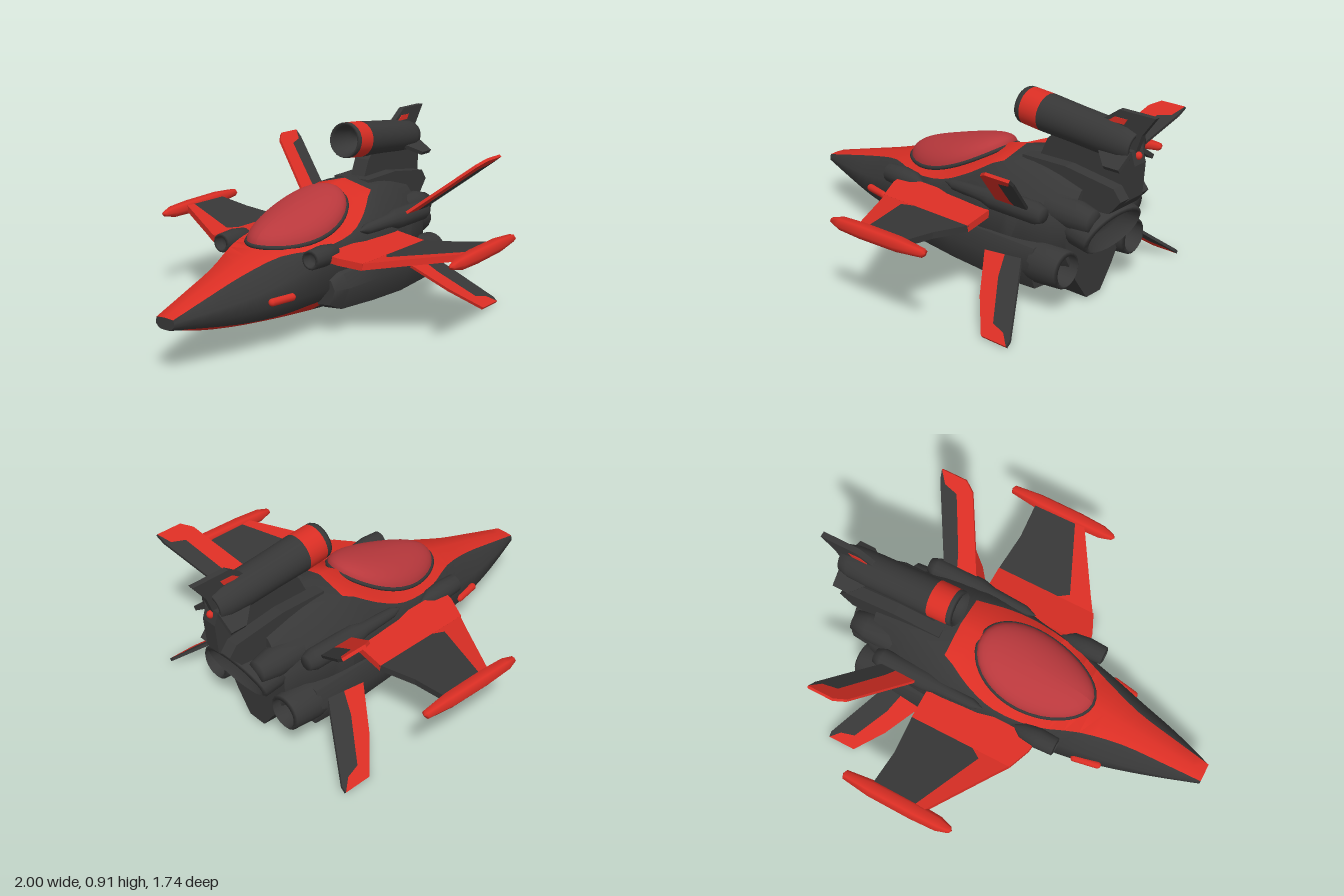
import * as THREE from 'three';
import { toCreasedNormals } from 'three/addons/utils/BufferGeometryUtils.js';

const material = (name, color, side = THREE.FrontSide) => {
  const m = new THREE.MeshStandardMaterial({ color, side });
  m.name = name;
  return m;
};
const dark = material('charcoal', 0x373737);
const red = material('red', 0xda2e24);
const glass = material('canopy red', 0xb8383c, THREE.DoubleSide);

export function createModel() {
  const model = new THREE.Group();
  const add = (name, geometry, mat, parent = model) => {
    const mesh = new THREE.Mesh(geometry, mat);
    mesh.name = name;
    parent.add(mesh);
    return mesh;
  };

  // Skin closed rings (ordered along +x) and cap both ends; isRed picks the red faces
  const loft = (rings, isRed = () => false) => {
    const lists = [[], []];
    const tri = (k, ...v) => v.forEach(p => lists[k].push(p.x, p.y, p.z));
    const n = rings[0].length;
    for (let i = 0; i < rings.length - 1; i++) {
      for (let j = 0; j < n; j++) {
        const k = (j + 1) % n, r = rings[i], q = rings[i + 1];
        const c = isRed((r[j].x + q[j].x) / 2, j) ? 1 : 0;
        tri(c, r[j], q[j], q[k]);
        tri(c, r[j], q[k], r[k]);
      }
    }
    [rings[0], rings[rings.length - 1]].forEach((r, end) => {
      const mid = r.reduce((a, p) => a.add(p), new THREE.Vector3()).divideScalar(n);
      r.forEach((p, j) => end ? tri(0, mid, r[(j + 1) % n], p) : tri(0, mid, p, r[(j + 1) % n]));
    });
    const g = new THREE.BufferGeometry();
    g.setAttribute('position', new THREE.Float32BufferAttribute(lists[0].concat(lists[1]), 3));
    g.addGroup(0, lists[0].length / 3, 0);
    g.addGroup(lists[0].length / 3, lists[1].length / 3, 1);
    return toCreasedNormals(g, 0.85);
  };

  // Solid of revolution about x from [x, radius] pairs: outer wall runs +x, inner wall runs -x
  const turned = (profile, sides = 20) => new THREE.LatheGeometry(
    profile.map(([x, r]) => new THREE.Vector2(r, x)), sides).rotateZ(-Math.PI / 2);

  // Flat plate centred on z = 0
  const plate = (points, thickness) => new THREE.ExtrudeGeometry(
    new THREE.Shape(points.map(p => new THREE.Vector2(...p))),
    { depth: thickness, bevelEnabled: false }).translate(0, 0, -thickness / 2);

  // Hull: keel height, then [z, y] of keel edge, belly, side, shoulder, deck edge, then crown height
  const stations = [
    [-1.0, .215, [.02, .215], [.035, .22], [.05, .235], [.05, .25], [.046, .265], .268],
    [-.8, .165, [.03, .165], [.08, .187], [.115, .225], [.115, .27], [.066, .318], .325],
    [-.6, .13, [.04, .13], [.125, .163], [.175, .225], [.165, .29], [.09, .37], .378],
    [-.4, .105, [.05, .105], [.165, .157], [.225, .235], [.21, .33], [.145, .42], .43],
    [-.2, .085, [.06, .085], [.195, .167], [.25, .235], [.245, .37], [.22, .425], .48],
    [0, .07, [.07, .07], [.19, .15], [.27, .235], [.275, .4], [.243, .455], .53],
    [.15, .06, [.07, .06], [.18, .13], [.285, .24], [.285, .43], [.215, .52], .6],
    [.3, .045, [.07, .045], [.17, .12], [.3, .25], [.29, .45], [.155, .6], .64],
    [.5, .03, [.065, .03], [.15, .12], [.28, .25], [.27, .45], [.12, .6], .62],
    [.7, .02, [.05, .02], [.13, .13], [.21, .27], [.21, .42], [.11, .55], .57],
  ];
  const half = stations.map(([x, keel, ...rest]) => {
    const crown = rest.pop();
    return [[0, keel], ...rest, [0, crown]].map(([z, y]) => new THREE.Vector3(x, y, z));
  });
  const steps = (stations.length - 1) * 3;
  const lines = half[0].map((_, j) =>
    new THREE.CatmullRomCurve3(half.map(s => s[j]), false, 'catmullrom', .5));
  const hullRings = [];
  for (let i = 0; i <= steps; i++) {
    const right = lines.map(l => l.getPoint(i / steps));
    const left = right.slice(1, -1).reverse().map(p => new THREE.Vector3(p.x, p.y, -p.z));
    hullRings.push([...right, ...left]);
  }
  add('hull', loft(hullRings, (x, j) => {
    const k = Math.min(j, 11 - j);
    return (k === 5 && x < .28) || (k < 2 && x > -.95 && x < -.07);
  }), [dark, red]);

  // Canopy dome over a rim that climbs toward the tail, broader at the back
  const rimY = x => .468 + .27 * (x + .1) + .62 * (x + .1) ** 2;
  const around = (u, a) => {
    const x = -.1 + .295 * u * Math.cos(a);
    return new THREE.Vector3(x, rimY(x) + .122 * Math.sqrt(Math.max(0, 1 - u * u)),
      .19 * u * Math.sin(a) * (1 + .13 * Math.cos(a)));
  };
  const dome = new THREE.SphereGeometry(1, 32, 10, 0, Math.PI * 2, 0, Math.PI / 2);
  const dp = dome.attributes.position;
  for (let i = 0; i < dp.count; i++) {
    const p = around(Math.min(1, Math.hypot(dp.getX(i), dp.getZ(i))), Math.atan2(dp.getZ(i), dp.getX(i)));
    dp.setXYZ(i, p.x, p.y, p.z);
  }
  dome.computeVertexNormals();
  add('canopy', dome, glass);
  const rim = Array.from({ length: 24 }, (_, i) => around(1, i / 24 * Math.PI * 2));
  add('canopyFrame', new THREE.TubeGeometry(new THREE.CatmullRomCurve3(rim, true), 48, .01, 6, true), dark);

  // Dorsal spine, pylon and raked main exhaust
  add('dorsalSpine', plate([[.36, .46], [.36, .63], [.6, .635], [.86, .6], [.9, .55], [.84, .48], [.6, .46]], .2), dark);
  add('enginePylon', plate([[.4, .6], [.45, .71], [.5, .76], [.9, .76], [.92, .7], [.91, .55], [.84, .49], [.6, .49]], .08), dark);
  add('mainNozzle', turned([[-.2, .2], [-.05, .215], [.03, .2], [.04, .18], [-.03, .14], [-.03, 0]], 24)
    .scale(1, .54, 1).rotateZ(-.35).translate(.765, .37, 0), dark);

  // Top engine, tilted slightly down toward the tail
  const engine = new THREE.Group();
  engine.name = 'topEngine';
  engine.position.set(.29, .825, 0);
  engine.rotation.z = -.09;
  model.add(engine);
  add('engineIntake', turned([[.16, 0], [.12, .055], [.02, .07], [0, .08], [.01, .086], [.03, .087]], 24), dark, engine);
  add('engineBand', turned([[.03, .087], [.13, .088]], 24), red, engine);
  add('engineBody', turned([[.13, .088], [.3, .084], [.45, .083], [.56, .078], [.61, .065], [.61, .05], [.55, .04], [.55, 0]], 24), dark, engine);

  // Tail fin with its marking and lamp
  add('tailFin', plate([[.68, .84], [.74, .87], [.81, .92], [.995, .92], [.93, .83], [.9, .74], [.7, .76]], .028), dark);
  add('tailMarking', plate([[.755, .86], [.79, .885], [.855, .885], [.84, .86]], .034), red);
  add('tailLamp', new THREE.SphereGeometry(.018, 10, 8).translate(.908, .735, 0), red);

  for (const s of [1, -1]) {
    const side = new THREE.Group();
    side.name = s > 0 ? 'leftSide' : 'rightSide';
    model.add(side);

    // Plate from [x, span] points, rising from root [z, y] toward tip [z, y]
    const surface = (name, points, root, tip, thickness, mat) => {
      const m = add(name, plate(points, thickness), mat, side);
      m.position.set(0, root[1], s * root[0]);
      m.rotation.x = s * Math.atan2(tip[0] - root[0], tip[1] - root[1]);
    };

    // Main wing: red root and leading edge, charcoal outer panel
    const kink = [.43, .37], tip = [.82, .425];
    surface('wingRoot', [[-.24, 0], [-.23, .07], [-.185, .175], [.335, .175], [.33, 0]], [.26, .4], kink, .034, red);
    surface('wingLeadingEdge', [[-.185, 0], [-.13, .085], [.06, .39], [.11, .39], [-.04, .04], [.02, 0]], kink, tip, .03, red);
    surface('wingPanel', [[.02, 0], [-.04, .04], [.11, .39], [.325, .39], [.315, .2], [.335, 0]], kink, tip, .03, dark);
    const pod = add('wingTipPod', turned([[-.1, 0], [-.09, .4], [-.03, .85], [.1, 1], [.32, .95], [.46, .55], [.47, 0]], 6)
      .scale(1, .034, .042), red, side);
    pod.position.set(0, .418, s * .83);
    pod.rotation.z = .03;

    // Upper and lower canted fins
    const upRoot = [.28, .47], upTip = [.62, .755];
    surface('upperFinFront', [[.37, 0], [.46, .2], [.55, .4], [.6, .44], [.73, .44], [.69, .38], [.62, .36], [.51, .1], [.48, 0]], upRoot, upTip, .014, red);
    surface('upperFinRear', [[.48, 0], [.51, .1], [.62, .36], [.69, .38], [.73, .44], [.72, .39], [.55, 0]], upRoot, upTip, .014, dark);
    const lowRoot = [.32, .26], lowTip = [.625, .015];
    surface('lowerFinFront', [[.34, 0], [.47, .23], [.59, .39], [.73, .39], [.68, .34], [.61, .32], [.5, .12], [.46, 0]], lowRoot, lowTip, .014, red);
    surface('lowerFinRear', [[.46, 0], [.5, .12], [.61, .32], [.68, .34], [.73, .39], [.73, .36], [.55, 0]], lowRoot, lowTip, .014, dark);
    surface('engineFinlet', [[.72, 0], [.82, .1], [.9, .1], [.9, 0]], [.04, .75], [.13, .69], .02, dark);

    // Angular side intake under the wing
    const outline = [[.18, .1], [.3, .11], [.35, .24], [.31, .32], [.18, .34]];
    const rings = [[-.18, .55], [-.12, .8], [.12, .93], [.35, 1], [.6, .92]].map(([x, k]) => {
      const ring = outline.map(([z, y]) => new THREE.Vector3(x, .22 + (y - .22) * k, s * (.2 + (z - .2) * k)));
      return s > 0 ? ring : ring.reverse();
    });
    add('sideIntake', loft(rings), [dark, red], side);
    add('sideNozzle', turned([[.45, .08], [.6, .095], [.73, .085], [.74, .07], [.66, .06], [.65, 0]])
      .translate(0, .23, s * .24), dark, side);

    // Shoulder cannon, rear shoulder pod and upper exhaust fairing
    add('shoulderCannon', turned([[-.3, 0], [-.3, .025], [-.335, .032], [-.33, .045], [-.24, .05], [-.16, .04], [-.1, 0]], 14)
      .translate(0, .405, s * .255), dark, side);
    add('shoulderPod', turned([[.04, 0], [.1, .025], [.28, .035], [.34, .05], [.58, .05], [.62, .035], [.62, 0]], 14)
      .translate(0, .462, s * .265), dark, side);
    add('exhaustFairing', turned([[.4, .04], [.5, .07], [.72, .07], [.8, .05], [.8, 0]], 14)
      .translate(0, .45, s * .15), dark, side);

    // Nose marker light
    const marker = add('noseMarker', new THREE.CapsuleGeometry(.018, .115, 4, 10).rotateZ(Math.PI / 2), red, side);
    marker.position.set(-.475, .252, s * .209);
    marker.rotation.y = -s * .18;
  }
  return model;
}
